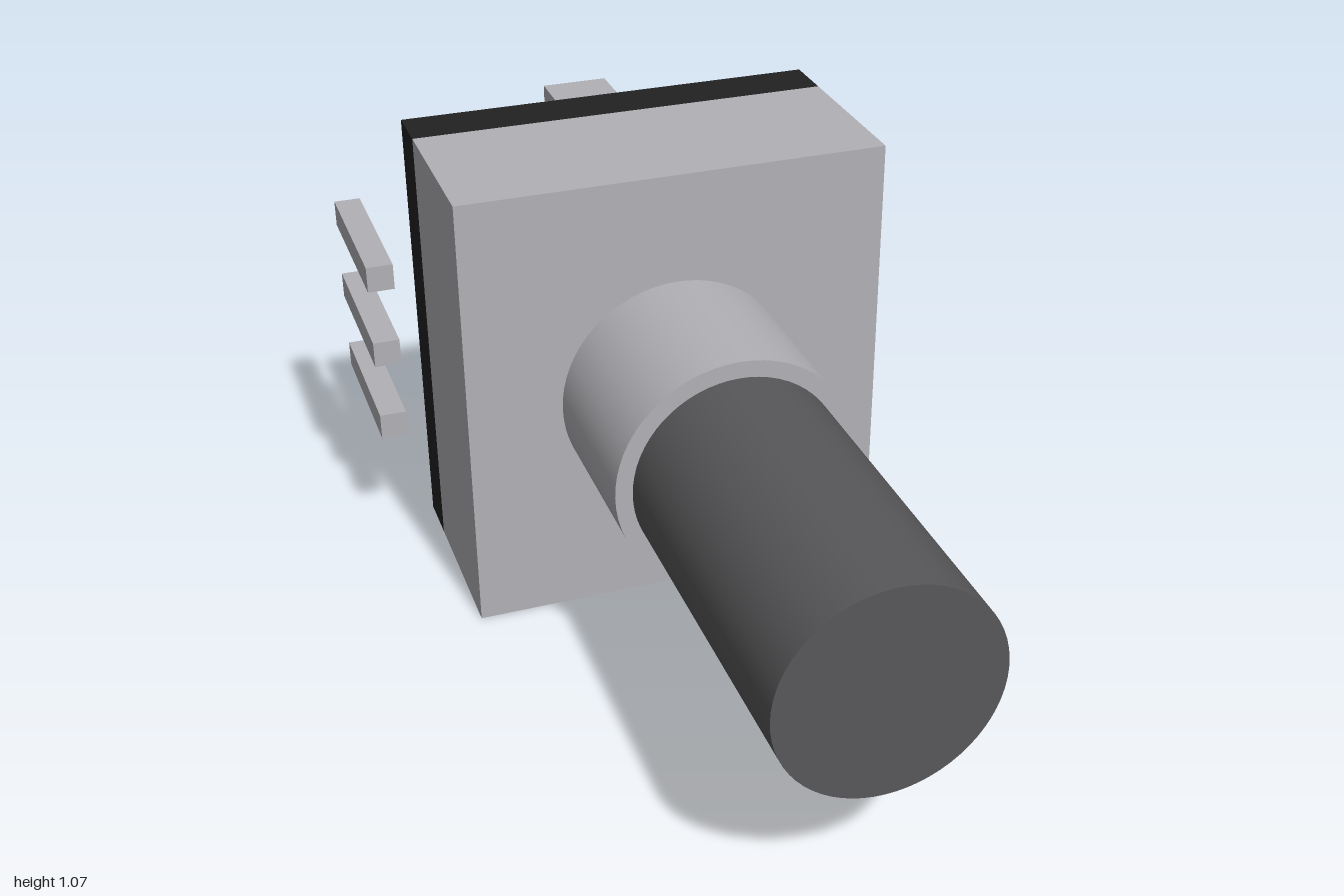
import * as THREE from 'three';

const CX = 0.02, CY = 0.537; // shaft axis

export function createModel() {
  const model = new THREE.Group();
  model.name = 'rotaryEncoder';

  const material = (name, color) => {
    const m = new THREE.MeshStandardMaterial({ color });
    m.name = name;
    return m;
  };
  const metal = material('light grey metal', 0xb2b1b6);
  const dark = material('dark grey shaft', 0x58585a);
  const black = material('black plastic', 0x222222);

  const add = (name, geometry, mat, x, y, z) => {
    const mesh = new THREE.Mesh(geometry, mat);
    mesh.name = name;
    mesh.position.set(x, y, z);
    model.add(mesh);
  };
  const box = (name, mat, x, y, w, h, z0, z1) =>
    add(name, new THREE.BoxGeometry(w, h, z1 - z0), mat, x, y, (z0 + z1) / 2);
  const rod = (name, mat, r, z0, z1) =>
    add(name, new THREE.CylinderGeometry(r, r, z1 - z0, 64).rotateX(Math.PI / 2), mat, CX, CY, (z0 + z1) / 2);

  // Housing and rear plate
  box('housing', metal, CX, CY, 1, 1.074, -0.597, -0.2);
  box('backPlate', black, CX, CY, 1, 1.074, -0.72, -0.597);

  // Bushing and shaft
  rod('bushing', metal, 0.278, -0.2, 0.2);
  rod('shaft', dark, 0.239, 0.2, 1);

  // Three pins on the right, two on the left
  for (const dy of [-0.2, 0, 0.2]) {
    box('rightPin', metal, -0.582, CY + dy, 0.064, 0.064, -1, -0.597);
    if (dy !== 0) box('leftPin', metal, 0.58, CY + dy, 0.064, 0.064, -1, -0.597);
  }

  // Flat mounting tabs at top and bottom
  for (const side of [-1, 1])
    box('mountingTab', metal, CX, CY + side * 0.449, 0.16, 0.038, -1, -0.72);

  return model;
}
